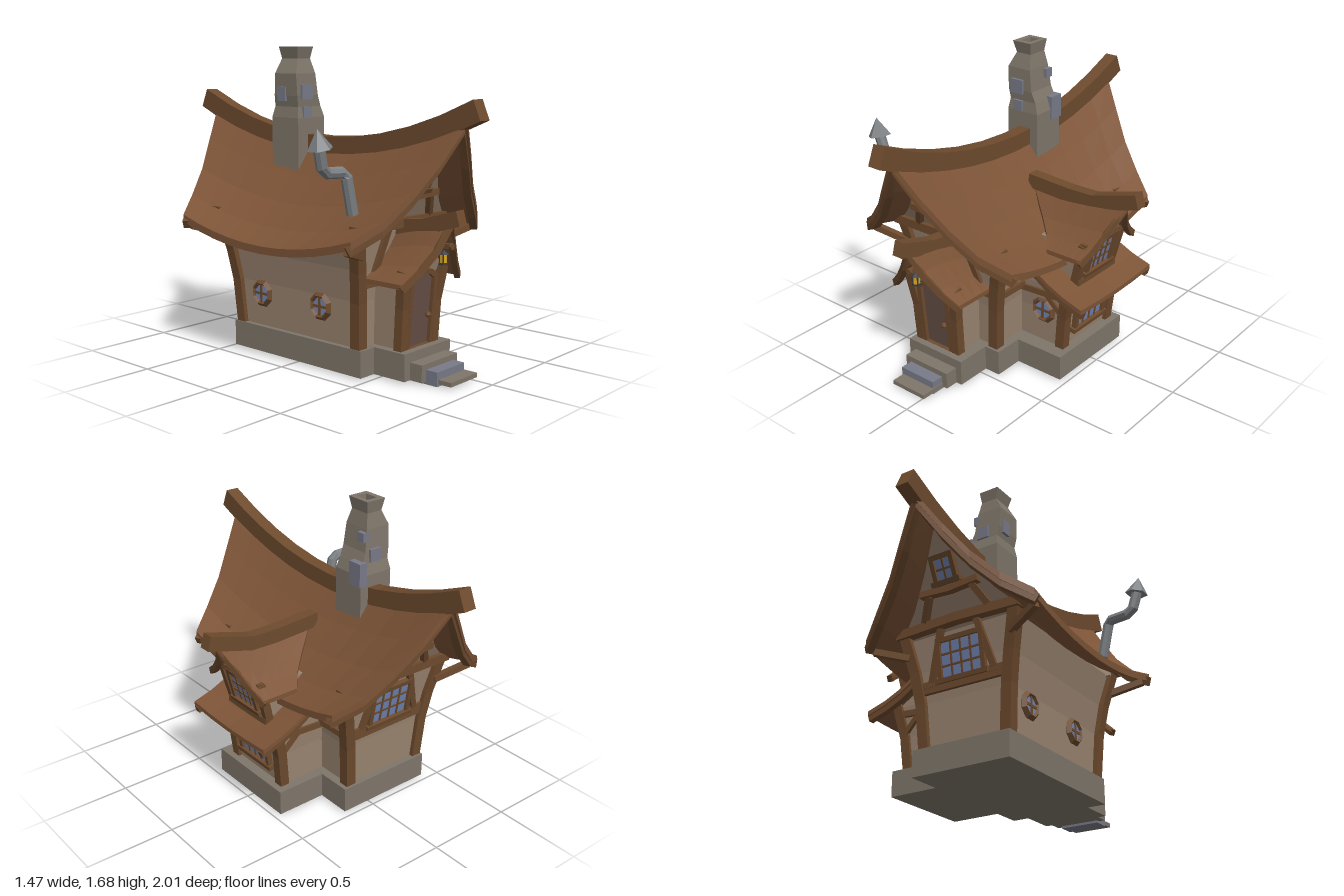
import * as THREE from 'three';

const mat = (color) => new THREE.MeshStandardMaterial({ color, flatShading: true });
const M = {
  roof: mat(0x7d5437), wood: mat(0x6e4b2e), wall: mat(0x9c8672), stone: mat(0x7f766a), slate: mat(0x787a88),
  glass: mat(0x7286b4), door: mat(0x665047), metal: mat(0x7d8184), lamp: mat(0xd6a21c), dark: mat(0x3c3c40),
};
const V = (x, y, z) => new THREE.Vector3(x, y, z);

function add(parent, name, geo, material, x = 0, y = 0, z = 0) {
  const m = new THREE.Mesh(geo, material);
  m.name = name;
  m.position.set(x, y, z);
  parent.add(m);
  return m;
}
const box = (p, name, m, w, h, d, x, y, z) => add(p, name, new THREE.BoxGeometry(w, h, d), m, x, y, z);
function group(parent, name, x = 0, y = 0, z = 0) {
  const g = new THREE.Group();
  g.name = name;
  g.position.set(x, y, z);
  parent.add(g);
  return g;
}

// Closed skin over equal-sized loops of points, capped at both ends
function loft(parent, name, m, rings) {
  const tris = [], n = rings[0].length;
  const quad = (a, b, c, d) => tris.push([a, b, c], [a, c, d]);
  for (let i = 0; i < rings.length - 1; i++) for (let j = 0; j < n; j++) {
    const k = (j + 1) % n;
    quad(rings[i][j], rings[i][k], rings[i + 1][k], rings[i + 1][j]);
  }
  const f = rings[0], l = rings[rings.length - 1];
  for (let j = 0; j < n / 2 - 1; j++) {
    quad(f[j + 1], f[j], f[n - 1 - j], f[n - 2 - j]);
    quad(l[j], l[j + 1], l[n - 2 - j], l[n - 1 - j]);
  }
  let vol = 0;
  for (const [a, b, c] of tris) vol += a.dot(b.clone().cross(c));
  if (vol < 0) tris.forEach((t) => t.reverse());
  const geo = new THREE.BufferGeometry().setFromPoints(tris.flat());
  geo.computeVertexNormals();
  return add(parent, name, geo, m);
}

// Timber of rectangular section along a path
function beam(parent, name, pts, w, h, up = V(0, 1, 0), m = M.wood) {
  return loft(parent, name, m, pts.map((p, i) => {
    const t = pts[Math.min(i + 1, pts.length - 1)].clone().sub(pts[Math.max(i - 1, 0)]).normalize();
    const s = t.clone().cross(up).normalize(), u = s.clone().cross(t);
    return [[-1, -1], [1, -1], [1, 1], [-1, 1]].map(([a, b]) =>
      p.clone().addScaledVector(s, a * w / 2).addScaledVector(u, b * h / 2));
  }));
}
const OUT = V(0, 0, 1);

// Stack of rectangles: [y, x0, x1, z0, z1]
const stack = (p, name, m, rows) => loft(p, name, m, rows.map(([y, a, b, c, d]) =>
  [V(a, y, c), V(b, y, c), V(b, y, d), V(a, y, d)]));

const mirrorRows = (rows) => [...rows.slice(1).reverse().map((r) => [-r[0], ...r.slice(1)]), ...rows];

// Curved gable roof; rows: [across, y, near end, far end, sag]
function gableRoof(parent, name, rows, sagShape, th = 0.04, steps = 8) {
  const full = mirrorRows(rows);
  const at = ([d, y, a, b, sag], t) => V(d, y - sag * sagShape(t), a + (b - a) * t);
  const rings = [];
  for (let i = 0; i <= steps; i++) {
    const top = full.map((r) => at(r, i / steps));
    rings.push([...top, ...top.map((p) => V(p.x, p.y - th, p.z)).reverse()]);
  }
  loft(parent, name, M.roof, rings);
  return (t, dy) => full.map((r) => at(r, t).add(V(0, dy, 0)));
}

// Leaning gable panel; profile: [across, top y]
function gable(parent, name, profile, y0, z0, lean) {
  const P = (d, y, back) => V(d, y, z0 + (y - y0) * lean - back);
  loft(parent, name, M.wall, mirrorRows(profile).map(([d, y]) =>
    [P(d, y0, 0), P(d, y, 0), P(d, y, 0.04), P(d, y0, 0.04)]));
}

function windowFrame(parent, name, w, h, nx, ny, x, y, z, tilt = 0) {
  const g = group(parent, name, x, y, z), b = 0.025;
  g.rotation.x = tilt;
  box(g, 'glass', M.glass, w, h, 0.02, 0, 0, 0);
  for (const s of [-1, 1]) {
    box(g, 'frameSide', M.wood, b, h + 2 * b, 0.05, s * (w + b) / 2, 0, 0);
    box(g, 'frameRail', M.wood, w + (s < 0 ? 0.08 : 0), b, s < 0 ? 0.065 : 0.05, 0, s * (h + b) / 2, 0);
  }
  for (let i = 1; i < nx; i++) box(g, 'bar', M.wood, 0.01, h, 0.032, (i / nx - 0.5) * w, 0, 0);
  for (let i = 1; i < ny; i++) box(g, 'bar', M.wood, w, 0.01, 0.032, 0, (i / ny - 0.5) * h, 0);
}

function roundWindow(parent, r, x, y, z, ry = 0) {
  const g = group(parent, 'roundWindow', x, y, z);
  g.rotation.y = ry;
  add(g, 'ring', new THREE.TorusGeometry(r, 0.02, 4, 8).rotateZ(Math.PI / 8), M.wood);
  add(g, 'glass', new THREE.CylinderGeometry(r, r, 0.016, 8).rotateY(Math.PI / 8).rotateX(Math.PI / 2), M.glass);
  box(g, 'bar', M.wood, 0.014, 2 * r, 0.026, 0, 0, 0);
  box(g, 'bar', M.wood, 2 * r, 0.014, 0.026, 0, 0, 0);
}

// Timbered end wall, built facing +z
function facade(house, front) {
  const g = group(house, front ? 'frontFacade' : 'backFacade');
  if (!front) g.rotation.y = Math.PI;
  gable(g, 'gableWall', [[0, 1.26], [0.1, 1.1], [0.2, 0.96], [0.3, 0.845], [0.36, 0.79]], 0.74, 0.48, 0.5);
  const G = (x, y) => V(x, y, 0.485 + (y - 0.74) * 0.5);
  beam(g, 'tieBeam', [V(-0.38, 0.785, 0.51), V(0, 0.795, 0.515), V(0.38, 0.785, 0.51)], 0.06, 0.05);
  beam(g, 'collarBeam', [G(-0.18, 0.94), G(0, 0.93), G(0.18, 0.94)], 0.05, 0.035);
  windowFrame(g, 'gableWindow', 0.095, 0.11, 2, 2, 0, 1.03, 0.632, 0.46);
  for (const s of [-1, 1]) {
    beam(g, 'cornerPost', [V(s * 0.245, 0.15, 0.425), V(s * 0.262, 0.4, 0.44), V(s * 0.29, 0.57, 0.46), V(s * 0.345, 0.8, 0.5)], 0.06, 0.06, OUT);
    beam(g, 'gableBrace', [G(s * 0.2, 0.81), G(s * 0.13, 0.93)], 0.035, 0.04, OUT);
    beam(g, 'eaveBrace', [V(s * 0.31, 0.65, 0.5), V(s * 0.5, 0.71, 0.57)], 0.035, 0.035);
    beam(g, 'wallBrace', [V(s * 0.19, 0.5, 0.455), V(s * 0.11, 0.77, 0.5)], 0.035, 0.04, OUT);
    beam(g, 'sideRail', [V(s * 0.15, 0.49, 0.452), V(s * 0.27, 0.49, 0.452)], 0.04, 0.035);
  }
  if (front) roundWindow(g, 0.05, 0.23, 0.69, 0.488);
  else {
    windowFrame(g, 'backWindow', 0.24, 0.19, 4, 3, 0, 0.6, 0.47, 0.17);
    beam(g, 'middleRail', [V(-0.25, 0.46, 0.45), V(0.25, 0.46, 0.45)], 0.04, 0.035);
  }
}

function archShape(hw, y0, y1, y2) {
  return new THREE.Shape([[-hw, y0], [hw, y0], [hw, y1], [hw * 0.55, y2 - 0.01], [0, y2], [-hw * 0.55, y2 - 0.01], [-hw, y1]]
    .map(([x, y]) => new THREE.Vector2(x, y)));
}

function porch(house) {
  const g = group(house, 'porch');
  stack(g, 'porchWalls', M.wall, [[0.14, -0.13, 0.13, 0.38, 0.595], [0.56, -0.15, 0.15, 0.38, 0.63]]);
  gable(g, 'porchGable', [[0, 0.78], [0.07, 0.66], [0.15, 0.57]], 0.54, 0.635, 0.25);
  const edge = gableRoof(g, 'porchRoof', [[0, 0.84, 0.46, 0.83, 0.07], [0.07, 0.705, 0.46, 0.79, 0.05],
    [0.15, 0.605, 0.45, 0.745, 0.03], [0.235, 0.525, 0.45, 0.7, 0]], (t) => (1 - t) ** 2, 0.025, 4);
  beam(g, 'porchVerge', edge(0.97, -0.025), 0.03, 0.035);
  beam(g, 'porchRidge', [V(0, 0.765, 0.48), V(0, 0.785, 0.66), V(0, 0.85, 0.88)], 0.065, 0.08);
  for (const s of [-1, 1])
    beam(g, 'porchPost', [V(s * 0.13, 0.15, 0.605), V(s * 0.135, 0.38, 0.62), V(s * 0.16, 0.58, 0.65)], 0.05, 0.05, OUT);
  // Arched door and its frame
  const d = group(g, 'door', 0, 0.155, 0.598);
  d.rotation.x = 0.085;
  const frame = archShape(0.112, 0, 0.37, 0.415);
  frame.holes.push(archShape(0.083, 0.005, 0.355, 0.39));
  const ex = (s, depth) => new THREE.ExtrudeGeometry(s, { depth, bevelEnabled: false });
  add(d, 'doorFrame', ex(frame, 0.04), M.wood, 0, 0, -0.01);
  add(d, 'doorPanel', ex(archShape(0.084, 0, 0.356, 0.391), 0.02), M.door, 0, 0, -0.01);
  add(d, 'doorKnob', new THREE.SphereGeometry(0.017, 6, 4), M.wood, 0.06, 0.16, 0.025);
  // Hanging lantern
  const l = group(g, 'lantern', 0.005, 0.635, 0.77);
  box(l, 'arm', M.wood, 0.022, 0.025, 0.16, 0, 0.065, -0.03);
  add(l, 'rosette', new THREE.CylinderGeometry(0.018, 0.018, 0.012, 8).rotateX(Math.PI / 2), M.wood, 0, 0.065, 0.05);
  add(l, 'lanternCap', new THREE.ConeGeometry(0.03, 0.022, 6), M.dark, 0, 0.032, 0);
  add(l, 'lanternGlow', new THREE.CylinderGeometry(0.018, 0.02, 0.045, 6), M.lamp);
  add(l, 'lanternFoot', new THREE.CylinderGeometry(0.026, 0.026, 0.01, 6), M.dark, 0, -0.027, 0);
  for (let i = 0; i < 3; i++)
    box(l, 'lanternBar', M.dark, 0.006, 0.05, 0.006, 0.021 * Math.cos(i * 2.09 + 0.5), 0, 0.021 * Math.sin(i * 2.09 + 0.5));
}

// Side wing with shed roof and dormer, built facing +z
function sideWing(root) {
  const g = group(root, 'sideWing');
  g.rotation.y = Math.PI / 2;
  stack(g, 'wingWalls', M.wall, [[0.14, -0.21, 0.21, 0.05, 0.41], [0.35, -0.22, 0.22, 0.05, 0.43], [0.52, -0.24, 0.24, 0.05, 0.47], [0.64, -0.24, 0.24, 0.05, 0.26]]);
  const shed = [[0.19, 0.71], [0.28, 0.65], [0.4, 0.575], [0.5, 0.53], [0.615, 0.495]];
  loft(g, 'shedRoof', M.roof, [-1, -0.5, 0, 0.5, 1].map((s) => {
    const top = shed.map(([z, y]) => V(s * 0.325, y + 0.015 * s * s, z));
    return [...top, ...top.map((p) => V(p.x, p.y - 0.025, p.z)).reverse()];
  }));
  windowFrame(g, 'wingWindow', 0.22, 0.22, 4, 3, 0, 0.36, 0.437, 0.13);
  beam(g, 'wingRail', [V(-0.24, 0.495, 0.47), V(0.24, 0.495, 0.47)], 0.045, 0.04);
  for (const s of [-1, 1]) {
    beam(g, 'wingPost', [V(s * 0.2, 0.15, 0.405), V(s * 0.21, 0.35, 0.425), V(s * 0.232, 0.54, 0.47)], 0.055, 0.055, OUT);
    beam(g, 'shedRafter', shed.map(([z, y]) => V(s * 0.3, y - 0.025, z)), 0.035, 0.035);
    beam(g, 'wingSideRail', [V(s * 0.235, 0.46, 0.13), V(s * 0.235, 0.48, 0.46)], 0.03, 0.035);
    beam(g, 'wingBrace', [V(s * 0.232, 0.47, 0.32), V(s * 0.225, 0.37, 0.42)], 0.03, 0.03);
    beam(g, 'dormerPost', [V(s * 0.155, 0.53, 0.45), V(s * 0.17, 0.79, 0.515)], 0.035, 0.045, OUT);
  }
  roundWindow(g, 0.062, -0.222, 0.355, 0.295, -Math.PI / 2);
  stack(g, 'dormerWalls', M.wall, [[0.5, -0.15, 0.15, 0.15, 0.445], [0.77, -0.17, 0.17, 0.15, 0.51]]);
  gable(g, 'dormerGable', [[0, 0.97], [0.06, 0.885], [0.12, 0.82], [0.18, 0.765]], 0.75, 0.508, 0.4);
  windowFrame(g, 'dormerWindow', 0.18, 0.16, 4, 3, 0, 0.685, 0.492, 0.24);
  beam(g, 'dormerRail', [V(-0.18, 0.785, 0.518), V(0.18, 0.785, 0.518)], 0.04, 0.03);
  beam(g, 'dormerSill', [V(-0.17, 0.555, 0.462), V(0.17, 0.555, 0.462)], 0.05, 0.035);
  const edge = gableRoof(g, 'dormerRoof', [[0, 1.01, 0.05, 0.667, 0.06], [0.1, 0.865, 0.19, 0.6, 0.03],
    [0.17, 0.795, 0.27, 0.57, 0.01], [0.245, 0.74, 0.33, 0.545, 0]], (t) => 1 - t * t, 0.025, 5);
  beam(g, 'dormerVerge', edge(0.97, -0.025), 0.03, 0.035);
  beam(g, 'dormerRidge', [V(0.01, 0.98, 0.03), V(0.01, 0.965, 0.3), V(0.01, 0.968, 0.46), V(0.01, 1.045, 0.73)], 0.068, 0.08);
}

function chimney(root) {
  const g = group(root, 'chimney', -0.135, 0, -0.225);
  stack(g, 'stack', M.stone, [[1.02, -0.1, 0.105, -0.1, 0.1], [1.3, -0.1, 0.105, -0.1, 0.1], [1.36, -0.09, 0.085, -0.085, 0.09],
    [1.42, -0.1, 0.06, -0.08, 0.095], [1.54, -0.105, 0.045, -0.07, 0.09], [1.62, -0.065, 0.03, -0.055, 0.065],
    [1.685, -0.08, 0.04, -0.065, 0.08], [1.685, -0.05, 0.012, -0.035, 0.05], [1.6, -0.045, 0.01, -0.03, 0.045]]);
  for (const [w, h, d, x, y, z] of [[0.08, 0.08, 0.05, -0.035, 1.44, 0.085], [0.06, 0.06, 0.04, -0.03, 1.33, 0.085],
    [0.05, 0.13, 0.085, 0.09, 1.31, -0.06], [0.04, 0.05, 0.05, 0.05, 1.5, -0.05], [0.04, 0.08, 0.06, -0.09, 1.43, -0.02],
    [0.07, 0.07, 0.04, 0, 1.4, -0.075]]) box(g, 'patchStone', M.slate, w, h, d, x, y, z);
}

function stovePipe(root) {
  const g = group(root, 'stovePipe');
  const pts = [V(-0.44, 0.86, 0.45), V(-0.485, 1.05, 0.45), V(-0.51, 1.075, 0.44), V(-0.61, 1.08, 0.435), V(-0.65, 1.11, 0.44), V(-0.685, 1.23, 0.45)];
  loft(g, 'pipe', M.metal, pts.map((p, i) => {
    const t = pts[Math.min(i + 1, 5)].clone().sub(pts[Math.max(i - 1, 0)]).normalize();
    const s = t.clone().cross(OUT).normalize();
    return Array.from({ length: 8 }, (_, k) => p.clone().addScaledVector(s, 0.03 * Math.cos(k * Math.PI / 4))
      .addScaledVector(OUT, 0.03 * Math.sin(k * Math.PI / 4)));
  }));
  add(g, 'pipeCap', new THREE.ConeGeometry(0.065, 0.1, 6), M.metal, -0.683, 1.25, 0.45).rotation.z = 0.2;
}

export function createModel() {
  const root = new THREE.Group();
  root.name = 'cottage';

  // Stone footing and steps: [x0, x1, y0, y1, z0, z1]
  for (const [name, m, a, b, c, d, e, f] of [
    ['mainFooting', M.stone, -0.4, 0.18, 0.013, 0.155, -0.47, 0.47],
    ['wingFooting', M.stone, 0, 0.47, 0.013, 0.154, -0.27, 0.3],
    ['porchFooting', M.stone, -0.295, 0.087, 0.013, 0.156, 0.3, 0.67],
    ['upperStep', M.stone, -0.25, 0.05, 0.013, 0.105, 0.6, 0.745],
    ['middleStep', M.slate, -0.215, 0.015, 0, 0.075, 0.72, 0.815],
    ['lowerStep', M.stone, -0.205, 0.02, 0.013, 0.036, 0.74, 0.893],
  ]) box(root, name, m, b - a, d - c, f - e, (a + b) / 2, (c + d) / 2, (e + f) / 2);

  const house = group(root, 'mainHouse', -0.12);
  stack(house, 'mainWalls', M.wall, [[0.14, -0.25, 0.25, -0.43, 0.43], [0.4, -0.265, 0.265, -0.445, 0.445],
    [0.57, -0.29, 0.29, -0.465, 0.465], [0.75, -0.335, 0.335, -0.493, 0.493]]);
  facade(house, true);
  facade(house, false);
  for (const z of [-0.26, 0.18]) roundWindow(house, 0.06, -0.265, 0.34, z, -Math.PI / 2);
  for (const s of [-1, 1]) beam(house, 'sideWallRail', [V(0.278, 0.48, s * 0.2), V(0.278, 0.48, s * 0.45)], 0.04, 0.035);

  // Sagging main roof with verge boards and ridge beam
  const edge = gableRoof(house, 'mainRoof', [[0, 1.345, -0.907, 0.907, 0.18], [0.13, 1.15, -0.84, 0.84, 0.155],
    [0.25, 0.99, -0.77, 0.77, 0.135], [0.38, 0.86, -0.705, 0.705, 0.12], [0.52, 0.77, -0.616, 0.616, 0.1]],
  (t) => 1 - (2 * t - 1) ** 2, 0.04, 10);
  for (const t of [0.02, 0.98]) beam(house, 'vergeBoard', edge(t, -0.045), 0.04, 0.05);
  const ridge = Array.from({ length: 11 }, (_, i) => (i / 5 - 1) * 0.985).map((z) => V(0, 1.15 + 0.24 * z * z, z));
  beam(house, 'ridgeBeam', ridge, 0.078, 0.11);

  porch(house);
  sideWing(root);
  chimney(root);
  stovePipe(root);
  return root;
}
